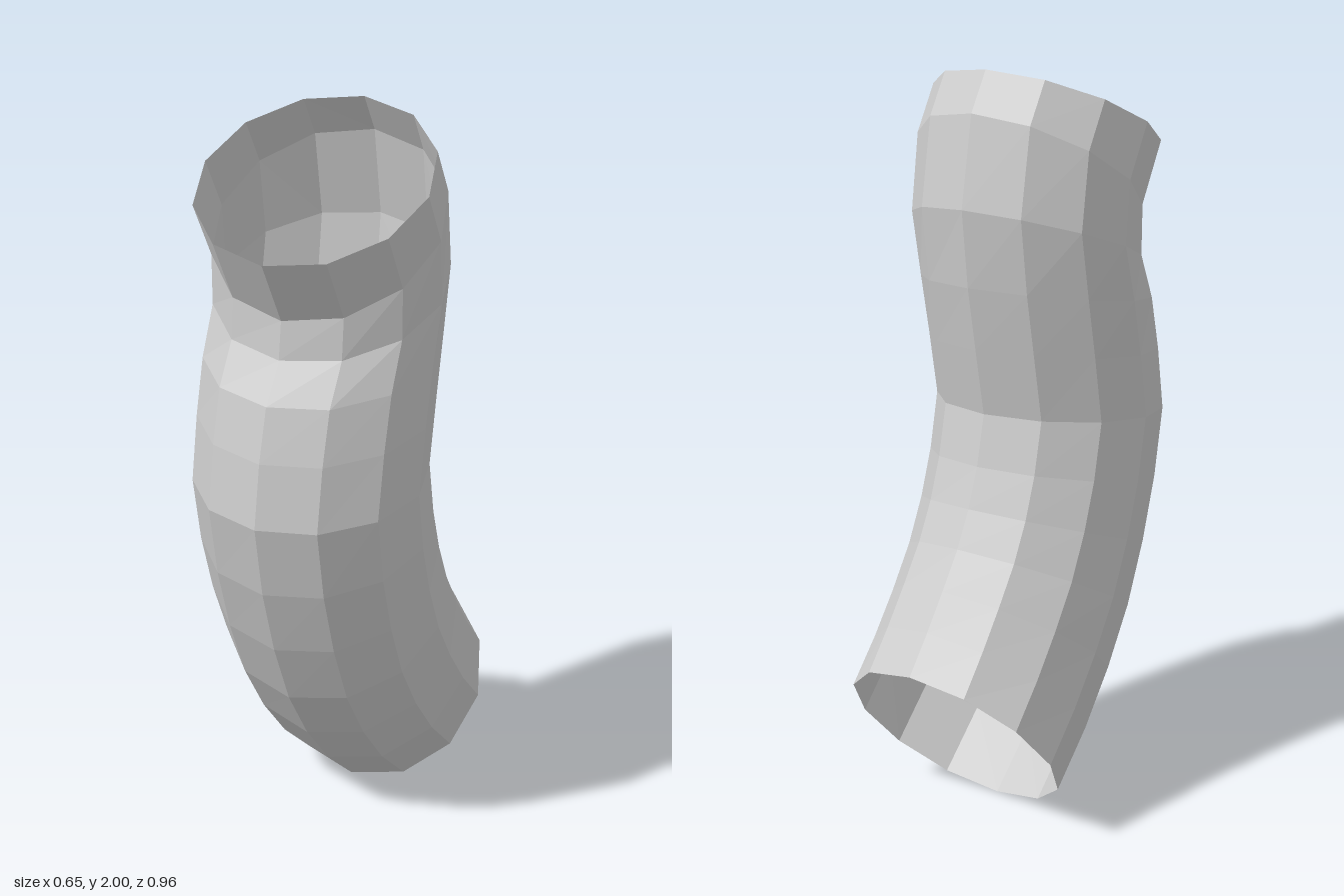
import * as THREE from 'three';

const SIDES = 12;
const RADIUS = 0.307;

// Each ring of the pipe, top to bottom: front z, front y, back z, back y
const RINGS = [
  [0.45, 1.71, -0.09, 2.0],
  [0.35, 1.54, -0.155, 1.9],
  [0.36, 1.44, -0.205, 1.665],
  [0.425, 1.34, -0.187, 1.46],
  [0.46, 1.2, -0.16, 1.29],
  [0.483, 1.03, -0.13, 1.11],
  [0.44, 0.83, -0.165, 0.975],
  [0.375, 0.64, -0.207, 0.87],
  [0.29, 0.455, -0.26, 0.775],
  [0.18, 0.29, -0.33, 0.68],
  [0.05, 0.14, -0.4, 0.59],
  [-0.105, 0.004, -0.48, 0.495],
];

// Open tube lofted through the rings
function pipeGeometry() {
  const positions = [];
  const index = [];
  for (const [fz, fy, bz, by] of RINGS) {
    for (let i = 0; i < SIDES; i++) {
      const a = (i / SIDES) * Math.PI * 2;
      const c = Math.cos(a) / 2;
      positions.push(
        RADIUS * Math.sin(a),
        (fy + by) / 2 + (fy - by) * c,
        (fz + bz) / 2 + (fz - bz) * c
      );
    }
  }
  for (let r = 0; r < RINGS.length - 1; r++) {
    for (let i = 0; i < SIDES; i++) {
      const j = (i + 1) % SIDES;
      const a = r * SIDES + i, b = r * SIDES + j;
      const c = a + SIDES, d = b + SIDES;
      index.push(a, c, b, b, c, d);
    }
  }
  const geometry = new THREE.BufferGeometry();
  geometry.setAttribute('position', new THREE.Float32BufferAttribute(positions, 3));
  geometry.setIndex(index);
  // The bend leans slightly sideways
  geometry.rotateZ(-0.02);
  geometry.translate(-0.022, 0, 0);
  geometry.computeVertexNormals();
  return geometry;
}

export function createModel() {
  const group = new THREE.Group();
  const material = new THREE.MeshStandardMaterial({
    color: 0xcccccc,
    flatShading: true,
    side: THREE.DoubleSide,
  });
  const pipe = new THREE.Mesh(pipeGeometry(), material);
  pipe.name = 'bentPipe';
  group.add(pipe);
  return group;
}
